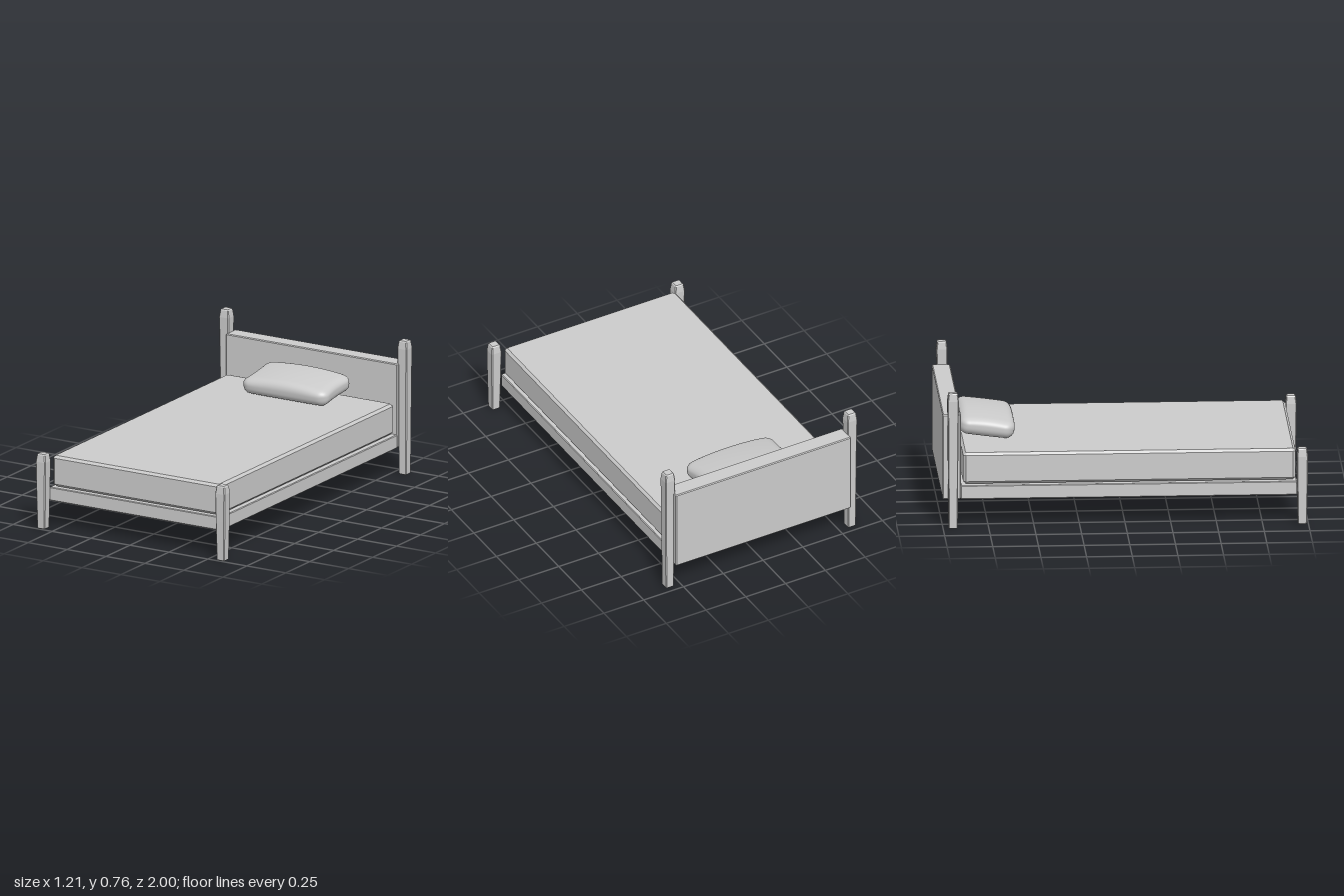
import * as THREE from 'three';
import { mergeVertices } from 'three/addons/utils/BufferGeometryUtils.js';

const grey = new THREE.MeshStandardMaterial({ color: 0xcccccc });
const flatGrey = new THREE.MeshStandardMaterial({ color: 0xcccccc, flatShading: true });

// Solid through chamfered rectangles, listed bottom to top as [y, halfX, halfZ, chamfer]
function loft(rings) {
  const pos = [], idx = [];
  for (const [y, a, b, c] of rings) {
    const corners = [[a, c - b], [a - c, -b], [c - a, -b], [-a, c - b],
      [-a, b - c], [c - a, b], [a - c, b], [a, b - c]];
    for (const [x, z] of corners) pos.push(x, y, z);
  }
  const top = (rings.length - 1) * 8;
  for (let j = 0; j < top; j += 8) {
    for (let i = 0; i < 8; i++) {
      const n = (i + 1) % 8;
      idx.push(j + i, j + n, j + 8 + n, j + i, j + 8 + n, j + 8 + i);
    }
  }
  for (let i = 1; i < 7; i++) idx.push(0, i + 1, i, top, top + i, top + i + 1);
  const g = new THREE.BufferGeometry();
  g.setAttribute('position', new THREE.Float32BufferAttribute(pos, 3));
  g.setIndex(idx);
  const flat = g.toNonIndexed();
  flat.computeVertexNormals();
  return flat;
}

// Box with chamfered edges, given by its limits
function bevelBox(name, [x0, x1], [y0, y1], [z0, z1], c) {
  const a = (x1 - x0) / 2, b = (z1 - z0) / 2;
  const mesh = new THREE.Mesh(loft([
    [y0, a - c, b - c, c * 0.5], [y0 + c, a, b, c],
    [y1 - c, a, b, c], [y1, a - c, b - c, c * 0.5],
  ]), flatGrey);
  mesh.position.set((x0 + x1) / 2, 0, (z0 + z1) / 2);
  mesh.name = name;
  return mesh;
}

// Post that widens upward, then narrows to a blunt top
function post(name, x, z, height) {
  const mesh = new THREE.Mesh(loft([
    [0, 0.021, 0.021, 0.004], [0.005, 0.0245, 0.0245, 0.004],
    [height - 0.2, 0.029, 0.029, 0.005], [height - 0.045, 0.031, 0.031, 0.005],
    [height - 0.006, 0.026, 0.026, 0.005], [height, 0.021, 0.021, 0.004],
  ]), flatGrey);
  mesh.position.set(x, 0, z);
  mesh.name = name;
  return mesh;
}

// Soft pillow: a rounded box, pinched at the sides and drooping at both ends
function pillow() {
  const hx = 0.28, hy = 0.054, hz = 0.155, r = 0.046;
  const g = new THREE.BoxGeometry(2 * hx, 2 * hy, 2 * hz, 48, 12, 28);
  g.deleteAttribute('normal');
  g.deleteAttribute('uv');
  const p = g.attributes.position, v = new THREE.Vector3(), core = new THREE.Vector3();
  const lim = new THREE.Vector3(hx - r, hy - r, hz - r);
  for (let i = 0; i < p.count; i++) {
    v.fromBufferAttribute(p, i);
    core.copy(v).clamp(lim.clone().negate(), lim);
    v.sub(core).setLength(r).add(core);
    const u = v.x / hx, w = v.z / hz;
    // round the corners seen from above and pinch the short sides
    v.z *= 1 - 0.1 * u ** 8;
    v.x *= 1 - 0.06 * (1 - w * w) - 0.05 * w ** 8;
    // crown the top, thin the ends
    if (v.y > 0) v.y *= 1.12 - 0.42 * u * u - 0.12 * w * w;
    else v.y *= 1 - 0.1 * w * w;
    p.setXYZ(i, v.x, v.y, v.z);
  }
  const smooth = mergeVertices(g, 1e-5);
  smooth.computeVertexNormals();
  const mesh = new THREE.Mesh(smooth, grey);
  mesh.position.set(-0.003, 0.479, -0.74);
  mesh.rotation.x = 0.13;
  mesh.name = 'pillow';
  return mesh;
}

export function createModel() {
  const bed = new THREE.Group();
  bed.name = 'bed';
  bed.add(
    bevelBox('bedFrame', [-0.553, 0.547], [0.153, 0.23], [-0.9, 0.94], 0.004),
    bevelBox('mattress', [-0.541, 0.535], [0.235, 0.41], [-0.887, 0.933], 0.014),
    bevelBox('headboard', [-0.555, 0.547], [0.155, 0.632], [-1, -0.9], 0.005),
    post('rightHeadPost', -0.577, -0.945, 0.762),
    post('leftHeadPost', 0.567, -0.945, 0.762),
    post('rightFootPost', -0.577, 0.967, 0.426),
    post('leftFootPost', 0.575, 0.967, 0.426),
    pillow(),
  );
  return bed;
}
